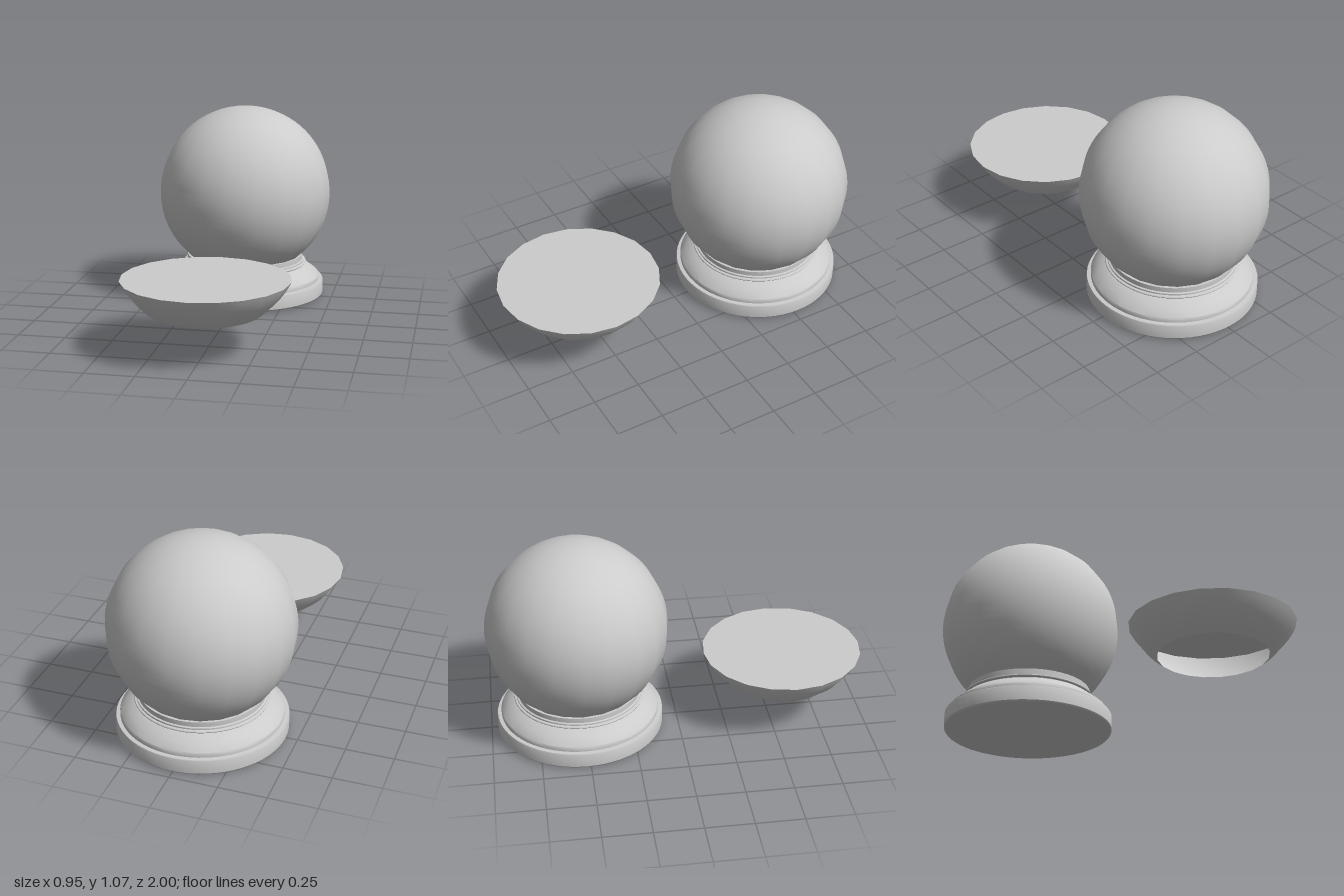
import * as THREE from 'three';
import { toCreasedNormals } from 'three/addons/utils/BufferGeometryUtils.js';

const R = 0.4775;        // globe radius
const CENTER_Y = 0.591;  // globe centre height
const GLOBE_Z = -0.5225;
const SNOW_Z = 0.5725;
const SIDES = 20;

const grey = new THREE.MeshStandardMaterial({ color: 0xcccccc });
const greyOpen = new THREE.MeshStandardMaterial({ color: 0xcccccc, side: THREE.DoubleSide });

function addPart(parent, name, geometry, material) {
  const mesh = new THREE.Mesh(geometry, material);
  mesh.name = name;
  parent.add(mesh);
  return mesh;
}

// Radius of the globe at a given height
const radiusAt = (y) => Math.sqrt(R * R - (y - CENTER_Y) ** 2);

export function createModel() {
  const model = new THREE.Group();
  model.name = 'snowGlobe';

  // Globe and its stand
  const globeGroup = new THREE.Group();
  globeGroup.name = 'globeOnStand';
  globeGroup.position.z = GLOBE_Z;
  model.add(globeGroup);

  // Glass ball, cut off where it sinks into the stand
  const cut = Math.acos((0.205 - CENTER_Y) / R);
  const ball = addPart(globeGroup, 'glassBall',
    new THREE.SphereGeometry(R, SIDES, 32, 0, Math.PI * 2, 0, cut), greyOpen);
  ball.position.y = CENTER_Y;

  // Turned stand: plinth, sloped shoulder, bead and neck
  const profile = [
    [0, 0], [0.33, 0], [0.43, 0.004], [0.438, 0.007], [0.443, 0.014],
    [0.443, 0.084], [0.44, 0.09], [0.42, 0.092],
    [0.42, 0.112], [0.417, 0.118], [0.38, 0.146], [0.345, 0.173],
    [0.334, 0.176], [0.334, 0.18], [0.345, 0.183], [0.347, 0.187], [0.345, 0.191],
    [0.334, 0.194], [0.334, 0.202], [0.325, 0.205],
    [0.325, 0.231], [0.3, 0.231], [0.28, 0.205], [0, 0.205],
  ].map(([r, y]) => new THREE.Vector2(r, y));
  addPart(globeGroup, 'stand',
    toCreasedNormals(new THREE.LatheGeometry(profile, 64), 0.6), grey);

  // Snow: a slice of the ball with a flat top and an open underside
  const snow = new THREE.Group();
  snow.name = 'snow';
  snow.position.z = SNOW_Z;
  model.add(snow);

  const bottom = 0.205, top = 0.372, steps = 8;
  const wall = [];
  for (let i = 0; i <= steps; i++) {
    const y = bottom + (top - bottom) * i / steps;
    wall.push(new THREE.Vector2(radiusAt(y), y));
  }
  addPart(snow, 'snowWall', new THREE.LatheGeometry(wall, SIDES), greyOpen);

  const surface = addPart(snow, 'snowSurface',
    new THREE.CircleGeometry(radiusAt(top), SIDES), greyOpen);
  surface.rotation.x = -Math.PI / 2;
  surface.position.y = top;

  return model;
}
